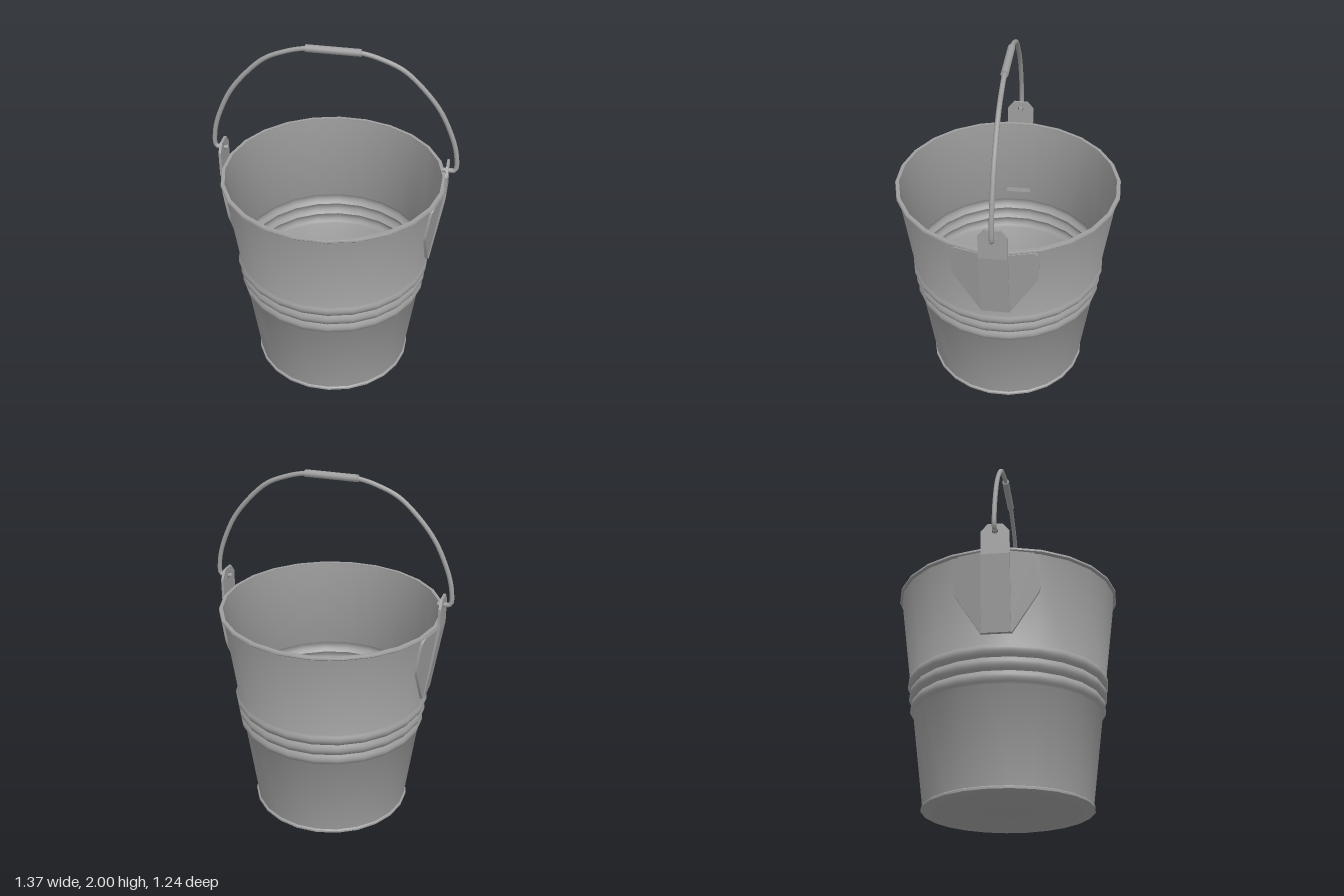
import * as THREE from 'three';
import { toCreasedNormals } from 'three/addons/utils/BufferGeometryUtils.js';

// dull zinc grey
const material = new THREE.MeshStandardMaterial({ color: 0x9e9e9e });
const SIDES = 24;
const HALF = Math.PI / SIDES;

// Outer wall radius (at the polygon corners) for a height
const wallR = (y) => 0.45 + 0.1333 * (y - 0.02);

function add(parent, name, geometry) {
  const mesh = new THREE.Mesh(geometry, material);
  mesh.name = name;
  parent.add(mesh);
  return mesh;
}

// Wall profile with three rolled ribs, shifted inwards by t
function wallProfile(t) {
  const points = [];
  const ribs = [0.52, 0.59, 0.66];
  ribs.forEach((y0, k) => {
    for (let i = k ? 1 : 0; i <= 6; i++) {
      const y = y0 + (0.07 * i) / 6;
      points.push([wallR(y) + 0.016 * Math.sin((Math.PI * i) / 6) - t, y]);
    }
  });
  return points;
}

function bucketGeometry() {
  const t = 0.008;
  const profile = [
    // underside and bottom bead
    [0, 0], [0.453, 0], [0.459, 0.005], [0.459, 0.016], [wallR(0.022), 0.022],
    // outer wall
    ...wallProfile(0), [wallR(1.22), 1.22],
    // rolled rim
    [0.62, 1.222], [0.625, 1.227], [0.625, 1.235], [0.622, 1.24], [0.603, 1.24], [wallR(1.23) - t, 1.23],
    // inner wall and floor
    ...wallProfile(t).reverse(), [wallR(0.03) - t, 0.03], [0, 0.03],
  ].map(([x, y]) => new THREE.Vector2(x, y));
  return toCreasedNormals(new THREE.LatheGeometry(profile, SIDES, HALF), 0.7);
}

// Extrudes an outline of (z, y) points outwards in +x from the surface base(z, y)
function plate(outline, depth, base, hole) {
  const shape = new THREE.Shape(outline.map(([z, y]) => new THREE.Vector2(-z, y)));
  if (hole) {
    const path = new THREE.Path();
    path.absarc(0, hole.y, hole.r, 0, Math.PI * 2, true);
    shape.holes.push(path);
  }
  const g = new THREE.ExtrudeGeometry(shape, { depth, bevelEnabled: false, curveSegments: 6 });
  g.rotateY(Math.PI / 2);
  const p = g.attributes.position;
  for (let i = 0; i < p.count; i++) p.setX(i, p.getX(i) + base(p.getZ(i), p.getY(i)));
  g.computeVertexNormals();
  return toCreasedNormals(g, 0.5);
}

function createEar() {
  const ear = new THREE.Group();
  ear.name = 'handleEar';
  // upright tab with a hole for the handle pin
  add(ear, 'earTab', plate(
    [[-0.076, 1.2], [0.076, 1.2], [0.076, 1.335], [0.04, 1.38], [-0.04, 1.38], [-0.076, 1.335]],
    0.014, () => 0.618, { y: 1.335, r: 0.016 }));
  // raised strip running down the wall
  add(ear, 'earStrip', plate(
    [[-0.076, 0.78], [0.076, 0.78], [0.076, 1.2], [-0.076, 1.2]],
    0.028, (z, y) => 0.538 + ((y - 0.78) / 0.42) * 0.066));
  // wings lying on the neighbouring wall facets
  for (const s of [-1, 1]) {
    add(ear, s > 0 ? 'earWingLeft' : 'earWingRight', plate(
      [[0.068, 0.78], [0.08, 0.78], [0.222, 1.01], [0.228, 1.04], [0.23, 1.17], [0.222, 1.2], [0.2, 1.218], [0.068, 1.22]]
        .map(([z, y]) => [z * s, y]),
      0.016,
      (z, y) => (wallR(y) * Math.cos(HALF) - Math.abs(z) * Math.sin(2 * HALF)) / Math.cos(2 * HALF) - 0.002));
  }
  // handle pin passing through the hole
  const pin = new THREE.CylinderGeometry(0.013, 0.013, 0.06, 8);
  pin.rotateZ(Math.PI / 2);
  add(ear, 'handlePin', pin).position.set(0.627, 1.335, 0);
  return ear;
}

export function createModel() {
  const model = new THREE.Group();
  model.name = 'bucket';
  add(model, 'bucketBody', bucketGeometry());

  // ears, one on each side
  for (const angle of [0, Math.PI]) {
    const ear = createEar();
    ear.rotation.y = angle;
    model.add(ear);
  }

  // wire handle, bent inwards at both ends
  const half = [
    [0.645, 1.335], [0.664, 1.338], [0.671, 1.352], [0.669, 1.41], [0.657, 1.475], [0.628, 1.56],
    [0.567, 1.685], [0.482, 1.795], [0.368, 1.9], [0.264, 1.948], [0.14, 1.979],
  ];
  const points = [...half, ...half.map(([x, y]) => [-x, y]).reverse()]
    .map(([x, y]) => new THREE.Vector3(x, y, 0));
  add(model, 'handle', new THREE.TubeGeometry(new THREE.CatmullRomCurve3(points), 120, 0.013, 8));

  // grip at the top of the handle
  const grip = new THREE.CylinderGeometry(0.02, 0.02, 0.29, 12);
  grip.rotateZ(Math.PI / 2);
  add(model, 'grip', grip).position.y = 1.98;

  return model;
}
